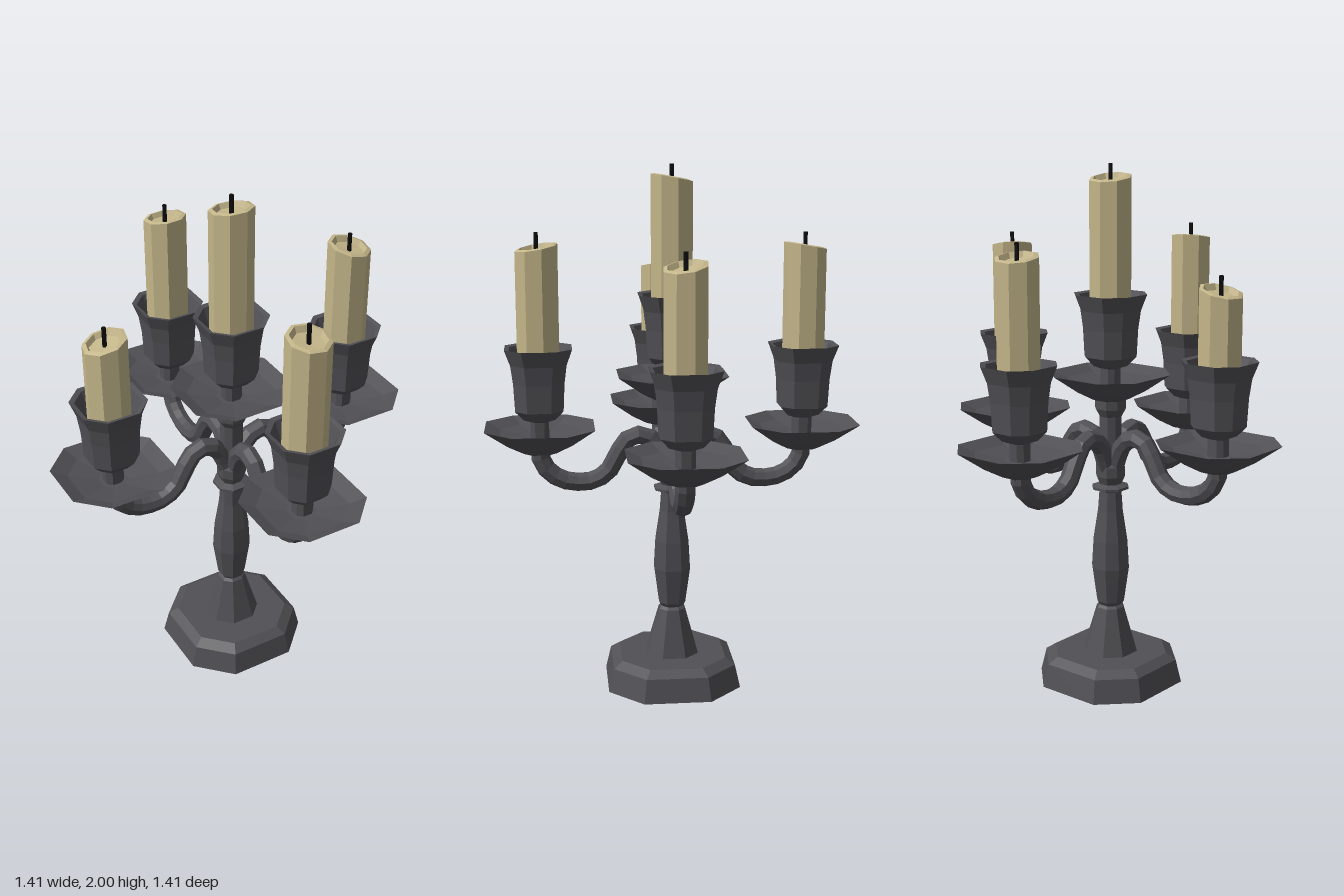
import * as THREE from 'three';

const mat = (color) => new THREE.MeshStandardMaterial({ color, flatShading: true, side: THREE.DoubleSide });

// Eight-sided turned part; radii are measured to the flats, corners pulled to a chamfered square
function octagonal(profile, ratio = 0.5) {
  const geo = new THREE.LatheGeometry(profile.map(([r, y]) => new THREE.Vector2(r, y)), 8, Math.PI / 8);
  const p = geo.attributes.position;
  for (let i = 0; i < p.count; i++) {
    const x = p.getX(i), z = p.getZ(i), r = Math.hypot(x, z);
    const wide = Math.abs(x) > Math.abs(z);
    p.setX(i, Math.sign(x) * r * (wide ? 1 : ratio));
    p.setZ(i, Math.sign(z) * r * (wide ? ratio : 1));
  }
  geo.computeVertexNormals();
  return geo;
}

// Candle with a dished top, sheared so that it has burnt down unevenly
function candleGeometry(top, slopeX, slopeZ, turn) {
  const pts = [[0, 1.16], [0.081, 1.16], [0.081, top], [0.066, top + 0.004], [0.056, top - 0.016], [0, top - 0.02]];
  const geo = new THREE.LatheGeometry(pts.map(([r, y]) => new THREE.Vector2(r, y)), 8);
  geo.rotateY(turn);
  const p = geo.attributes.position;
  for (let i = 0; i < p.count; i++) {
    if (p.getY(i) > 1.3) p.setY(i, p.getY(i) + p.getX(i) * slopeX + p.getZ(i) * slopeZ);
  }
  geo.computeVertexNormals();
  return geo;
}

export function createModel() {
  const group = new THREE.Group();
  group.name = 'candelabra';
  const metal = mat(0x505055), wax = mat(0xc4b68a), black = mat(0x0c0c0c);

  const add = (parent, name, geo, material) => {
    const mesh = new THREE.Mesh(geo, material);
    mesh.name = name;
    parent.add(mesh);
    return mesh;
  };

  // Stepped foot
  add(group, 'base', octagonal([
    [0, 0], [0.255, 0], [0.235, 0.09], [0.2, 0.115], [0, 0.115],
  ]), metal);

  // Turned stem
  add(group, 'stem', octagonal([
    [0.1, 0.11], [0.05, 0.295], [0.04, 0.305], [0.05, 0.32], [0.068, 0.46], [0.062, 0.57],
    [0.045, 0.69], [0.04, 0.765], [0.066, 0.775], [0.066, 0.785], [0.04, 0.795], [0.052, 0.825],
    [0.052, 0.865], [0.04, 0.89], [0.04, 1.06], [0.055, 1.09], [0.055, 1.14], [0, 1.14],
  ], 0.45), metal);

  // Shared saucer and cup shapes
  const saucer = octagonal([
    [0, 0.93], [0.06, 0.93], [0.12, 0.965], [0.205, 1.03], [0.15, 1.005], [0.05, 0.985], [0, 0.985],
  ]);
  const cup = octagonal([
    [0.035, 0.98], [0.035, 1.05], [0.06, 1.06], [0.09, 1.095], [0.095, 1.2], [0.104, 1.27],
    [0.125, 1.33], [0.108, 1.325], [0.088, 1.26], [0.08, 1.2], [0, 1.2],
  ]);

  // S-shaped arm running along +x
  const armPath = new THREE.CatmullRomCurve3([
    [0.02, 0.86], [0.055, 0.945], [0.105, 0.987], [0.16, 0.98], [0.205, 0.92], [0.24, 0.855],
    [0.3, 0.815], [0.4, 0.815], [0.465, 0.85], [0.497, 0.9], [0.5, 0.95],
  ].map(([x, y]) => new THREE.Vector3(x, y, 0)));
  const armGeo = new THREE.TubeGeometry(armPath, 16, 0.036, 8);
  ['left', 'back', 'right', 'front'].forEach((side, i) => {
    add(group, side + 'Arm', armGeo, metal).rotation.y = i * Math.PI / 2;
  });

  // Candle holders: name, x, lift, z, candle top, x slope, z slope, turn, wick tip
  [
    ['left', 0.5, 0, 0, 1.675, -0.18, -0.15, 0.3, 1.725],
    ['right', -0.5, 0, 0, 1.575, 0.25, 0.05, 0.15, 1.63],
    ['front', 0, 0, 0.5, 1.7, -0.06, -0.17, 0.25, 1.755],
    ['back', 0, 0, -0.5, 1.7, 0.05, 0.17, 0.4, 1.75],
    ['centre', 0, 0.195, 0, 1.755, 0.04, 0.18, 0.2, 1.805],
  ].forEach(([name, x, lift, z, top, sx, sz, turn, tip]) => {
    const holder = new THREE.Group();
    holder.name = name + 'Holder';
    holder.position.set(x, lift, z);
    add(holder, 'saucer', saucer, metal);
    add(holder, 'cup', cup, metal);
    add(holder, 'candle', candleGeometry(top, sx, sz, turn), wax);
    const wick = add(holder, 'wick', new THREE.CylinderGeometry(0.008, 0.008, 0.09, 6), black);
    wick.position.y = tip - 0.045;
    group.add(holder);
  });

  return group;
}
